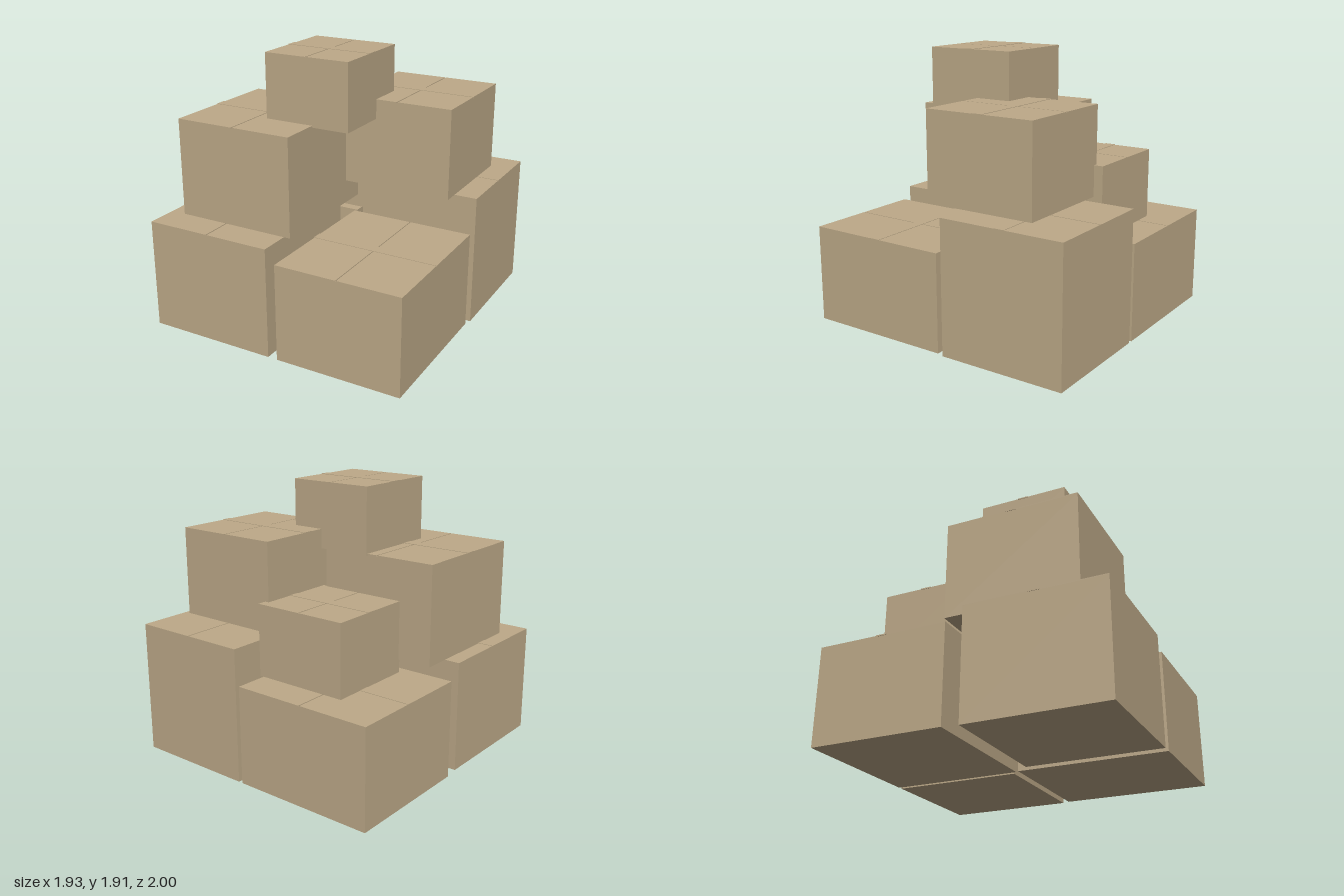
import * as THREE from 'three';

const cardboard = new THREE.MeshStandardMaterial({ color: 0xbda988 });
cardboard.name = 'cardboard';

// Adds a block given by its minimum and maximum corners
function block(parent, name, x0, x1, y0, y1, z0, z1) {
  const mesh = new THREE.Mesh(new THREE.BoxGeometry(x1 - x0, y1 - y0, z1 - z0), cardboard);
  mesh.position.set((x0 + x1) / 2, (y0 + y1) / 2, (z0 + z1) / 2);
  mesh.name = name;
  parent.add(mesh);
}

// Closed carton: body, four lid panels with a narrow seam, tape along the middle
function carton(name, x0, x1, y0, y1, z0, z1) {
  const group = new THREE.Group();
  group.name = name;
  const lid = 0.006, seam = 0.004, tape = 0.037, lift = 0.003;
  const cx = (x0 + x1) / 2, cz = (z0 + z1) / 2;
  const lidTop = y1 - lift, bodyTop = lidTop - lid;

  block(group, 'body', x0, x1, y0, bodyTop, z0, z1);
  for (const [xa, xb] of [[x0, cx - seam], [cx + seam, x1]]) {
    block(group, 'backFlap', xa, xb, bodyTop, lidTop, z0, cz);
    block(group, 'frontFlap', xa, xb, bodyTop, lidTop, cz, z1);
  }
  // The tape folds slightly over both ends
  block(group, 'tape', x0 - lift, x1 + lift, bodyTop, y1, cz - tape, cz + tape);
  return group;
}

export function createModel() {
  const model = new THREE.Group();
  model.name = 'cartonStack';
  const cartons = [
    // Bottom layer
    ['lowBackRightCarton', -0.96, 0.06, 0, 0.688, -1, -0.07],
    ['lowBackLeftCarton', 0.09, 0.96, 0, 0.935, -1, -0.10],
    ['lowFrontRightCarton', -0.946, -0.02, 0, 0.78, 0.04, 1],
    ['lowFrontLeftCarton', 0.048, 0.944, 0, 0.688, -0.05, 1],
    // Middle layer
    ['middleFrontCarton', -0.838, 0.027, 0.777, 1.465, -0.15, 0.78],
    ['middleLeftCarton', 0.06, 0.833, 0.967, 1.587, -0.703, 0.098],
    ['middleBackCarton', -0.592, 0.09, 0.685, 1.185, -0.768, -0.14],
    // Top
    ['topCarton', -0.327, 0.292, 1.449, 1.913, -0.163, 0.486],
  ];
  for (const c of cartons) model.add(carton(...c));
  return model;
}
